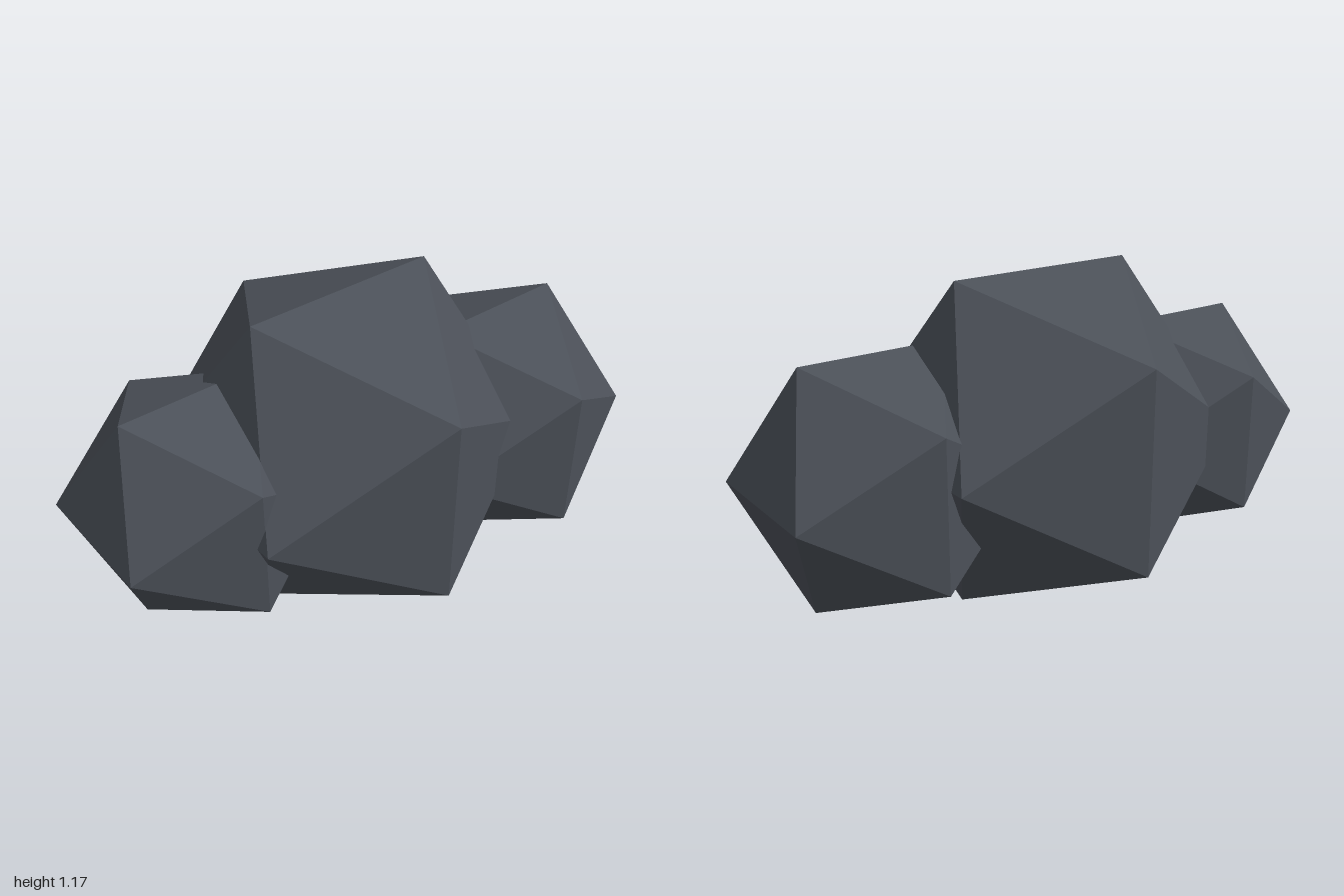
import * as THREE from 'three';

export function createModel() {
  const group = new THREE.Group();
  group.name = 'rockCluster';
  const stone = new THREE.MeshStandardMaterial({ color: 0x4b5058, flatShading: true });
  stone.name = 'dark slate';

  // Three overlapping faceted boulders: name, radius, centre
  const boulders = [
    ['mainBoulder', 0.687, -0.04, 0.585, 0],
    ['leftBoulder', 0.5155, 0.561, 0.5, 0.129],
    ['rightBoulder', 0.4725, -0.598, 0.543, -0.087],
  ];
  for (const [name, radius, x, y, z] of boulders) {
    const rock = new THREE.Mesh(new THREE.IcosahedronGeometry(radius, 0), stone);
    rock.name = name;
    rock.position.set(x, y, z);
    group.add(rock);
  }
  return group;
}
